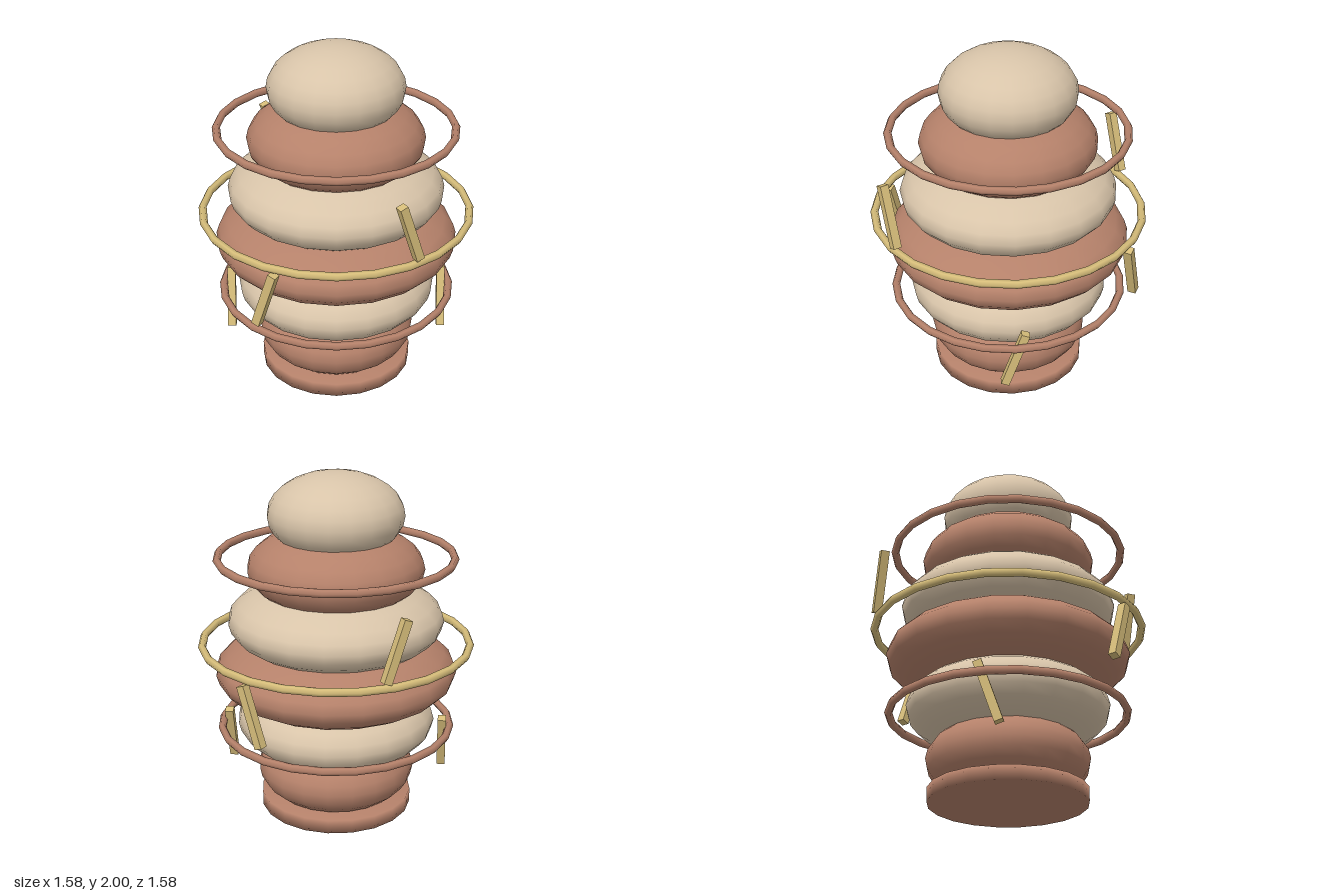
import * as THREE from 'three';
import { mergeVertices } from 'three/addons/utils/BufferGeometryUtils.js';

const material = (name, color) => {
  const m = new THREE.MeshStandardMaterial({ color });
  m.name = name;
  return m;
};

export function createModel() {
  const model = new THREE.Group();
  model.name = 'stoneStack';
  const sand = material('sand', 0xd8c4a9);
  const clay = material('clay', 0xb5816a);
  const gold = material('gold', 0xd6bd7a);

  const add = (name, geometry, mat, y, parent = model) => {
    const mesh = new THREE.Mesh(geometry, mat);
    mesh.name = name;
    mesh.position.y = y;
    parent.add(mesh);
    return mesh;
  };

  // Base disc, with normals blended softly over its rim
  let disc = new THREE.CylinderGeometry(0.443, 0.443, 0.08, 20);
  disc.deleteAttribute('normal');
  disc.deleteAttribute('uv');
  disc = mergeVertices(disc);
  disc.computeVertexNormals();
  add('base', disc, clay, 0.04);

  // Flattened stones, alternating in colour and sunk into each other
  [0.457, 0.574, 0.695, 0.617, 0.502, 0.385].forEach((radius, i) => {
    const stone = new THREE.SphereGeometry(1, 20, 14).scale(radius, 0.24, radius);
    add(`stone${i + 1}`, stone, i % 2 ? sand : clay, 0.24 + i * 0.304);
  });

  // Floating hoops
  [['lowerHoop', 0.667, 0.508, clay], ['middleHoop', 0.767, 1.015, gold], ['upperHoop', 0.667, 1.52, clay]]
    .forEach(([name, radius, y, mat]) => {
      add(name, new THREE.TorusGeometry(radius, 0.023, 6, 24).rotateX(Math.PI / 2), mat, y);
    });

  // Three pairs of slanted bars, each pair a third of a turn further round
  const bar = new THREE.BoxGeometry(0.048, 0.355, 0.048);
  [[0.623, 0.41], [0.766, 0.812], [0.766, 1.216]].forEach(([radius, y], i) => {
    const pair = new THREE.Group();
    pair.name = `barPair${i + 1}`;
    pair.rotation.y = -i * Math.PI * 2 / 3;
    for (const side of [1, -1]) {
      const mesh = add(side > 0 ? 'barA' : 'barB', bar, gold, y, pair);
      mesh.position.x = side * radius;
      mesh.rotation.x = -0.33;
    }
    model.add(pair);
  });

  return model;
}
